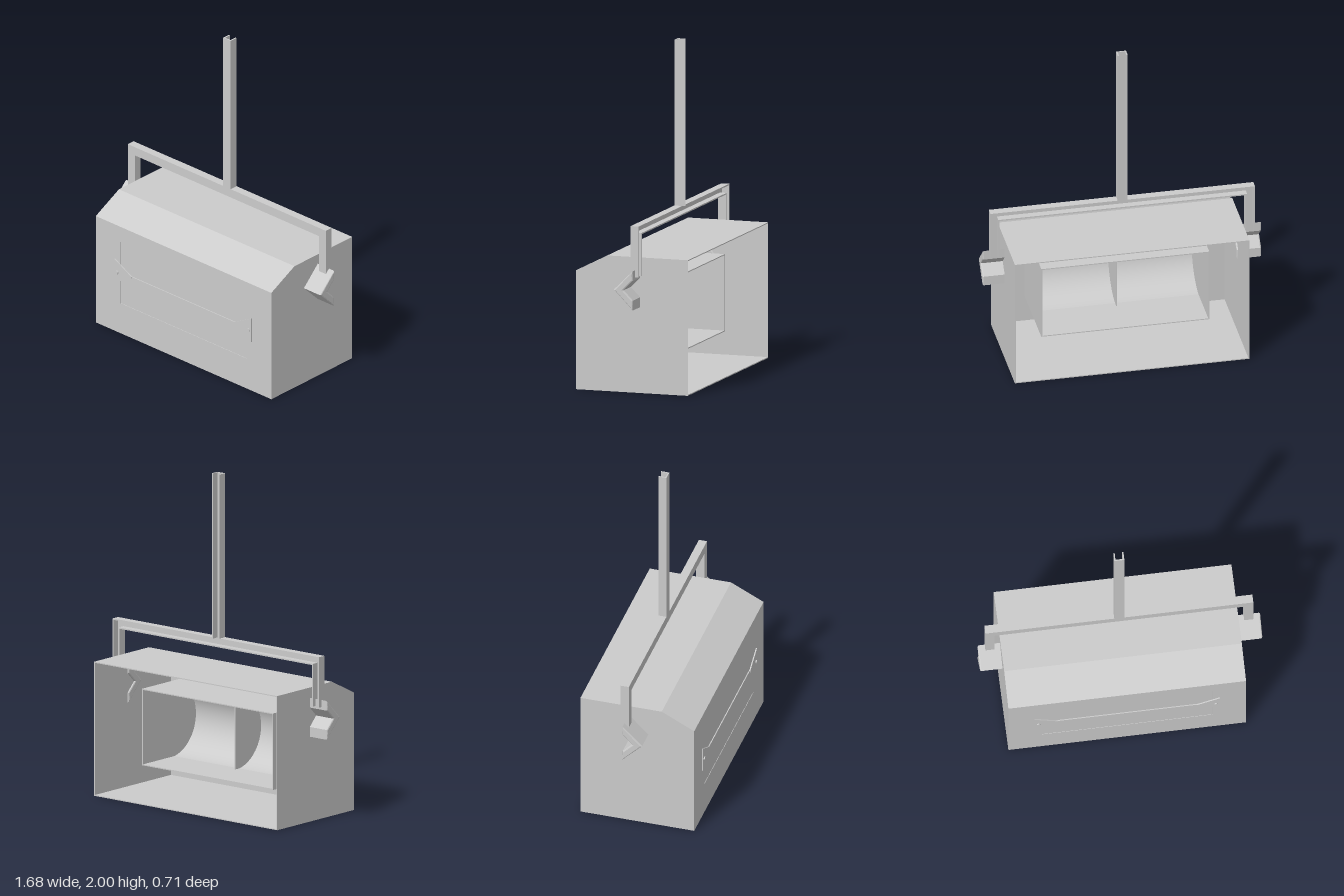
import * as THREE from 'three';

const material = new THREE.MeshStandardMaterial({ color: 0xcccccc, side: THREE.DoubleSide });

function addMesh(parent, name, geometry) {
  const mesh = new THREE.Mesh(geometry, material);
  mesh.name = name;
  parent.add(mesh);
  return mesh;
}

// Box given by its limits on each axis
function block(parent, name, [x0, x1], [y0, y1], [z0, z1]) {
  const g = new THREE.BoxGeometry(x1 - x0, y1 - y0, z1 - z0);
  g.translate((x0 + x1) / 2, (y0 + y1) / 2, (z0 + z1) / 2);
  return addMesh(parent, name, g);
}

const polygon = (pts) => new THREE.Shape(pts.map(([a, b]) => new THREE.Vector2(a, b)));

// Profile of [z, y] points swept along x from x0 to x1
function sweepX(pts, x0, x1, bevel = 0) {
  const g = new THREE.ExtrudeGeometry(polygon(pts), {
    depth: x1 - x0 - 2 * bevel, bevelEnabled: bevel > 0,
    bevelThickness: bevel, bevelSize: bevel, bevelOffset: -bevel, bevelSegments: 2,
  });
  g.rotateY(-Math.PI / 2);
  g.translate(x1 - bevel, 0, 0);
  return g;
}

// Profile of [x, y] points with a front at z1
function plate(shape, z0, z1) {
  const g = new THREE.ExtrudeGeometry(shape, { depth: z1 - z0, bevelEnabled: false });
  g.translate(0, 0, z0);
  return g;
}

const W = 0.705, T = 0.006;
const BACK = -0.36, FRONT = 0.34;

function makeHousing() {
  const g = new THREE.Group();
  g.name = 'housing';
  // Top with its sloped front edge
  addMesh(g, 'roof', sweepX([
    [BACK, 0.81], [0.14, 0.81], [FRONT, 0.71], [FRONT - T, 0.705],
    [0.139, 0.81 - T], [BACK, 0.81 - T],
  ], -W, W));
  block(g, 'floor', [-W, W], [0, T], [BACK, FRONT]);
  // Side walls follow the roof slope
  const side = [[BACK, 0], [FRONT, 0], [FRONT, 0.71], [0.14, 0.81], [BACK, 0.81]];
  addMesh(g, 'leftWall', sweepX(side, W - T, W));
  addMesh(g, 'rightWall', sweepX(side, -W, -W + T));
  // Front with a window opening
  const front = polygon([[-W, 0], [W, 0], [W, 0.71], [-W, 0.71]]);
  front.holes.push(polygon([[-0.505, 0.2], [-0.505, 0.61], [0.505, 0.61], [0.505, 0.2]]));
  addMesh(g, 'frontWall', plate(front, FRONT - T, FRONT));
  block(g, 'windowPane', [-0.504, 0.504], [0.201, 0.609], [FRONT - 0.008, FRONT - 0.002]);
  return g;
}

// Inner box, open at the back, holding a curved trough and a centre divider
function makeReflector() {
  const g = new THREE.Group();
  g.name = 'reflector';
  const z = [-0.16, FRONT - T], x = [-0.505, 0.505];
  block(g, 'reflectorTop', x, [0.635, 0.641], z);
  block(g, 'reflectorBottom', x, [0.179, 0.185], z);
  for (const s of [-1, 1]) {
    block(g, 'reflectorEnd', [s * 0.502 - 0.003, s * 0.502 + 0.003], [0.179, 0.641], z);
  }
  const arc = [];
  for (let i = 0; i <= 24; i++) {
    const a = -Math.PI / 2 + (Math.PI * i) / 24;
    arc.push([0.09 + 0.235 * Math.cos(a), 0.41 + 0.228 * Math.sin(a)]);
  }
  const trough = new THREE.CylinderGeometry(1, 1, 1.005, 32, 1, true, 0, Math.PI);
  trough.rotateZ(Math.PI / 2);    // axis along x
  trough.computeBoundingBox();
  if (trough.boundingBox.min.z < -0.5) trough.rotateX(Math.PI);
  if (trough.boundingBox.max.y - trough.boundingBox.min.y < 1.5) trough.rotateX(Math.PI / 2);
  trough.computeBoundingBox();
  if (trough.boundingBox.min.z < -0.5) trough.rotateY(Math.PI);
  trough.scale(1, 0.228, 0.235);
  trough.translate(0, 0.41, 0.09);
  addMesh(g, 'trough', trough);
  addMesh(g, 'divider', sweepX(arc, -0.003, 0.003));
  return g;
}

// Triangular clips joined by a thin rod across the window
function makeGuard() {
  const g = new THREE.Group();
  g.name = 'windowGuard';
  block(g, 'guardRod', [-0.43, 0.43], [0.4, 0.411], [FRONT - 0.002, FRONT + 0.004]);
  for (const s of [-1, 1]) {
    const tri = polygon([[s * 0.412, 0.411], [s * 0.412, 0.4], [s * 0.55, 0.328], [s * 0.55, 0.484]]);
    addMesh(g, 'clip', plate(tri, FRONT, FRONT + 0.007));
    const screw = new THREE.CylinderGeometry(0.011, 0.011, 0.008, 12);
    screw.rotateX(Math.PI / 2);
    screw.translate(s * 0.527, 0.402, FRONT + 0.01);
    addMesh(g, 'clipScrew', screw);
  }
  return g;
}

// Yoke and pole of channel section, open towards the back
function makeYoke() {
  const g = new THREE.Group();
  g.name = 'yoke';
  const zf = -0.035, zb = -0.085, t = 0.008;
  const web = polygon([
    [-0.795, 0.715], [-0.74, 0.715], [-0.74, 0.955], [0.74, 0.955], [0.74, 0.715], [0.795, 0.715],
    [0.795, 1.01], [0.03, 1.01], [0.03, 2], [-0.03, 2], [-0.03, 1.01], [-0.795, 1.01],
  ]);
  addMesh(g, 'yokeWeb', plate(web, zf - t, zf));
  block(g, 'crossbarLowerFlange', [-0.74, 0.74], [0.955, 0.955 + t], [zb, zf]);
  for (const s of [-1, 1]) {
    const span = (a, b) => [Math.min(s * a, s * b), Math.max(s * a, s * b)];
    block(g, 'crossbarUpperFlange', span(0.03, 0.795), [1.01 - t, 1.01], [zb, zf]);
    block(g, 'legOuterFlange', span(0.795 - t, 0.795), [0.705, 1.01], [zb, zf]);
    block(g, 'legInnerFlange', span(0.74, 0.74 + t), [0.705, 0.963], [zb, zf]);
    block(g, 'poleFlange', span(0.03 - t, 0.03), [1.002, 2], [zb, zf]);
  }
  return g;
}

// Angled brackets that carry the housing on the yoke
function makeBrackets() {
  const g = new THREE.Group();
  g.name = 'brackets';
  const chevron = [
    [-0.062, 0.748], [0.058, 0.631], [-0.062, 0.513],
    [-0.062, 0.572], [-0.004, 0.631], [-0.062, 0.689],
  ];
  addMesh(g, 'leftBracket', sweepX(chevron, 0.69, 0.838, 0.008));
  addMesh(g, 'rightBracket', sweepX(chevron, -0.838, -0.69, 0.008));
  return g;
}

export function createModel() {
  const model = new THREE.Group();
  model.name = 'floodlight';
  model.add(makeHousing(), makeReflector(), makeGuard(), makeYoke(), makeBrackets());
  return model;
}
